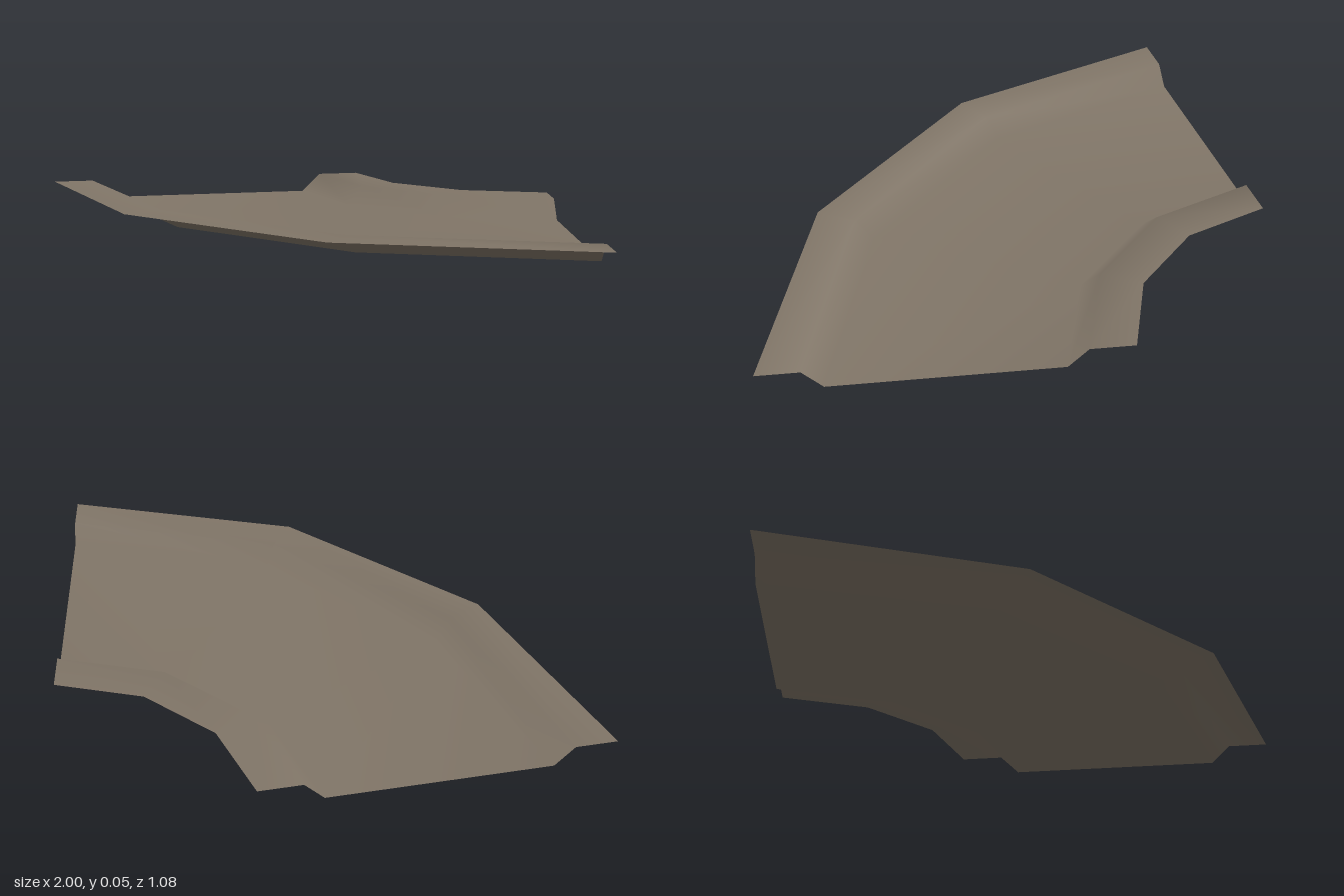
import * as THREE from 'three';

export function createModel() {
  const group = new THREE.Group();
  group.name = 'curvedChannel';

  const stone = new THREE.MeshStandardMaterial({ color: 0x807567, side: THREE.DoubleSide });
  stone.name = 'greyBrown';

  // Cross-section from outer to inner rim: [fraction across, height]
  const profile = [[0, 0.055], [0.121, 0.055], [0.177, 0], [0.817, 0], [0.874, 0.055], [1, 0.055]];

  // Stations along the bend: [outer x, outer z, inner x, inner z], mirrored in x
  const half = [[0.36, 0.535, 0.13, -0.424], [1, 0.215, 0.365, -0.54]];
  const mirror = ([ox, oz, ix, iz]) => [-ox, oz, -ix, iz];
  const stations = [mirror(half[1]), mirror(half[0]), half[0], half[1]];

  const positions = [];
  const indices = [];
  const n = profile.length;
  stations.forEach(([ox, oz, ix, iz], i) => {
    profile.forEach(([t, y], j) => {
      positions.push(ox + (ix - ox) * t, y, oz + (iz - oz) * t);
      if (i < stations.length - 1 && j < n - 1) {
        const a = i * n + j;
        const b = a + n;
        indices.push(a, b, a + 1, b, b + 1, a + 1);
      }
    });
  });

  // Thin sunken track with sloped banks and flat rims, smooth shaded
  const geometry = new THREE.BufferGeometry();
  geometry.setAttribute('position', new THREE.Float32BufferAttribute(positions, 3));
  geometry.setIndex(indices);
  geometry.computeVertexNormals();

  const track = new THREE.Mesh(geometry, stone);
  track.name = 'trackBend';
  group.add(track);
  return group;
}
